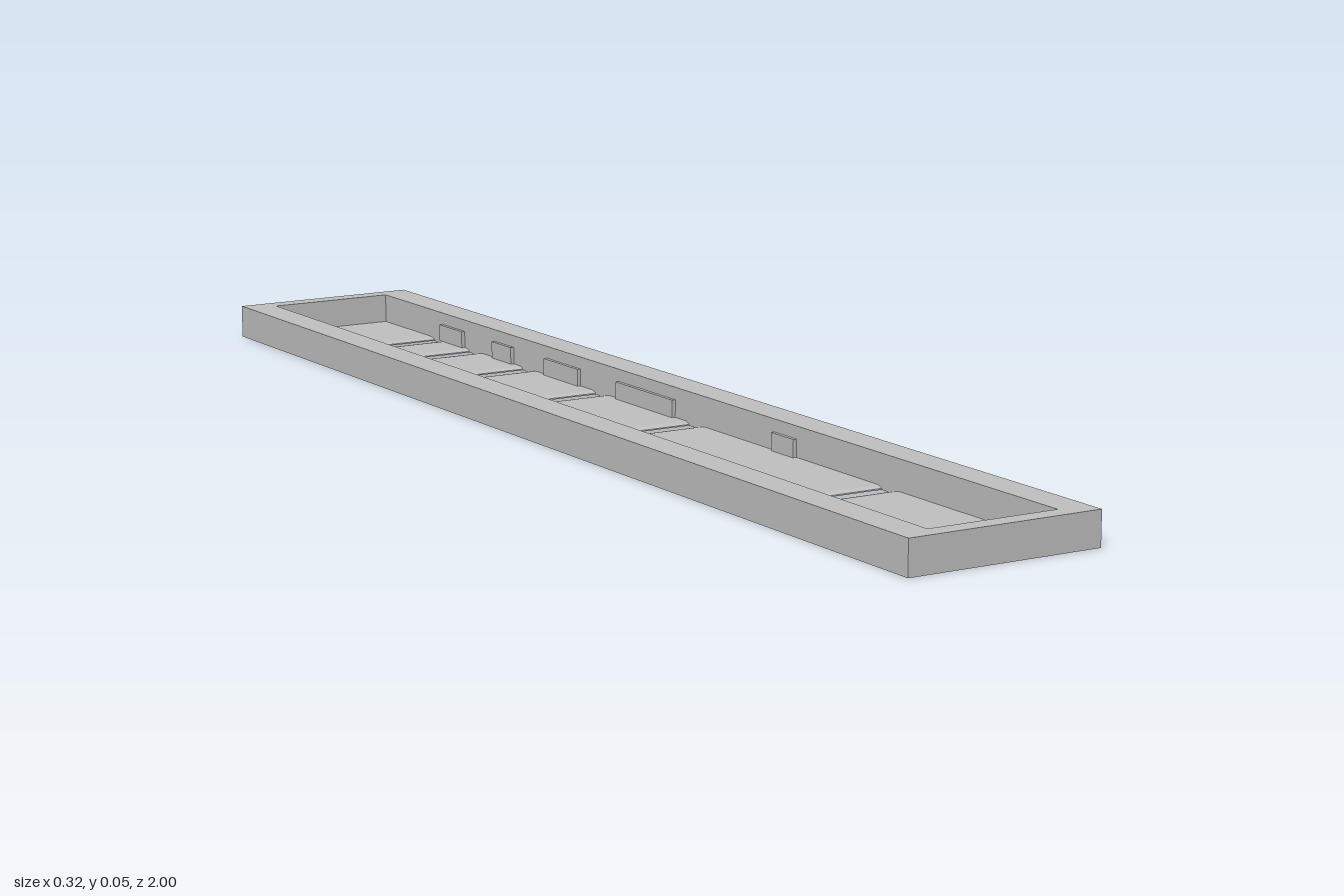
import * as THREE from 'three';

const HALF_W = 0.16, HALF_L = 1, HEIGHT = 0.054;
const IN_W = 0.108, IN_L = 0.97, FLOOR = 0.006, EDGE = 0.002;

// Through slots [back z, front z]
const SLOTS = [[-0.79, -0.765], [-0.664, -0.637], [-0.48, -0.453], [-0.243, -0.218], [0.041, 0.066], [0.56, 0.585]];
// Small ledges along both inner walls [back z, front z]
const LEDGES = [[-0.76, -0.68], [-0.575, -0.51], [-0.4, -0.29], [-0.17, 0], [0.28, 0.34]];

function rectPath(PathType, w, l) {
  const p = new PathType();
  p.moveTo(-w, -l);
  p.lineTo(w, -l);
  p.lineTo(w, l);
  p.lineTo(-w, l);
  p.closePath();
  return p;
}

export function createModel() {
  const group = new THREE.Group();
  const grey = new THREE.MeshStandardMaterial({ color: 0xc0c0c0 });
  grey.name = 'grey';

  const add = (name, geometry) => {
    const mesh = new THREE.Mesh(geometry, grey);
    mesh.name = name;
    group.add(mesh);
    return mesh;
  };

  // Rectangular surround
  const outline = rectPath(THREE.Shape, HALF_W, HALF_L);
  outline.holes.push(rectPath(THREE.Path, IN_W, IN_L));
  const frame = new THREE.ExtrudeGeometry(outline, { depth: HEIGHT, bevelEnabled: false });
  frame.rotateX(-Math.PI / 2);
  add('frame', frame);

  // Thin floor panels: gentle ramp behind each slot, rounded nose ahead of it
  for (let i = 0; i <= SLOTS.length; i++) {
    const back = i === 0 ? -IN_L : SLOTS[i - 1][1];
    const front = i === SLOTS.length ? IN_L : SLOTS[i][0];
    const s = new THREE.Shape();
    s.moveTo(back, 0);
    s.lineTo(front, 0);
    if (i < SLOTS.length) {
      s.lineTo(front, EDGE);
      s.quadraticCurveTo(front - 0.002, FLOOR, front - 0.018, FLOOR);
    } else s.lineTo(front, FLOOR);
    if (i > 0) {
      s.lineTo(back + 0.025, FLOOR);
      s.quadraticCurveTo(back + 0.012, FLOOR, back, EDGE);
    } else s.lineTo(back, FLOOR);
    s.closePath();
    const panel = new THREE.ExtrudeGeometry(s, { depth: IN_W * 2, bevelEnabled: false, curveSegments: 5 });
    panel.rotateY(-Math.PI / 2);
    panel.translate(IN_W, 0, 0);
    add('floorPanel', panel);
  }

  // Wall ledges, mirrored left and right
  const ledgeTop = 0.034, ledgeW = 0.006;
  for (const [back, front] of LEDGES) {
    for (const side of [-1, 1]) {
      const ledge = add('wallLedge', new THREE.BoxGeometry(ledgeW, ledgeTop - FLOOR, front - back));
      ledge.position.set(side * (IN_W - ledgeW / 2), (ledgeTop + FLOOR) / 2, (back + front) / 2);
    }
  }
  return group;
}
